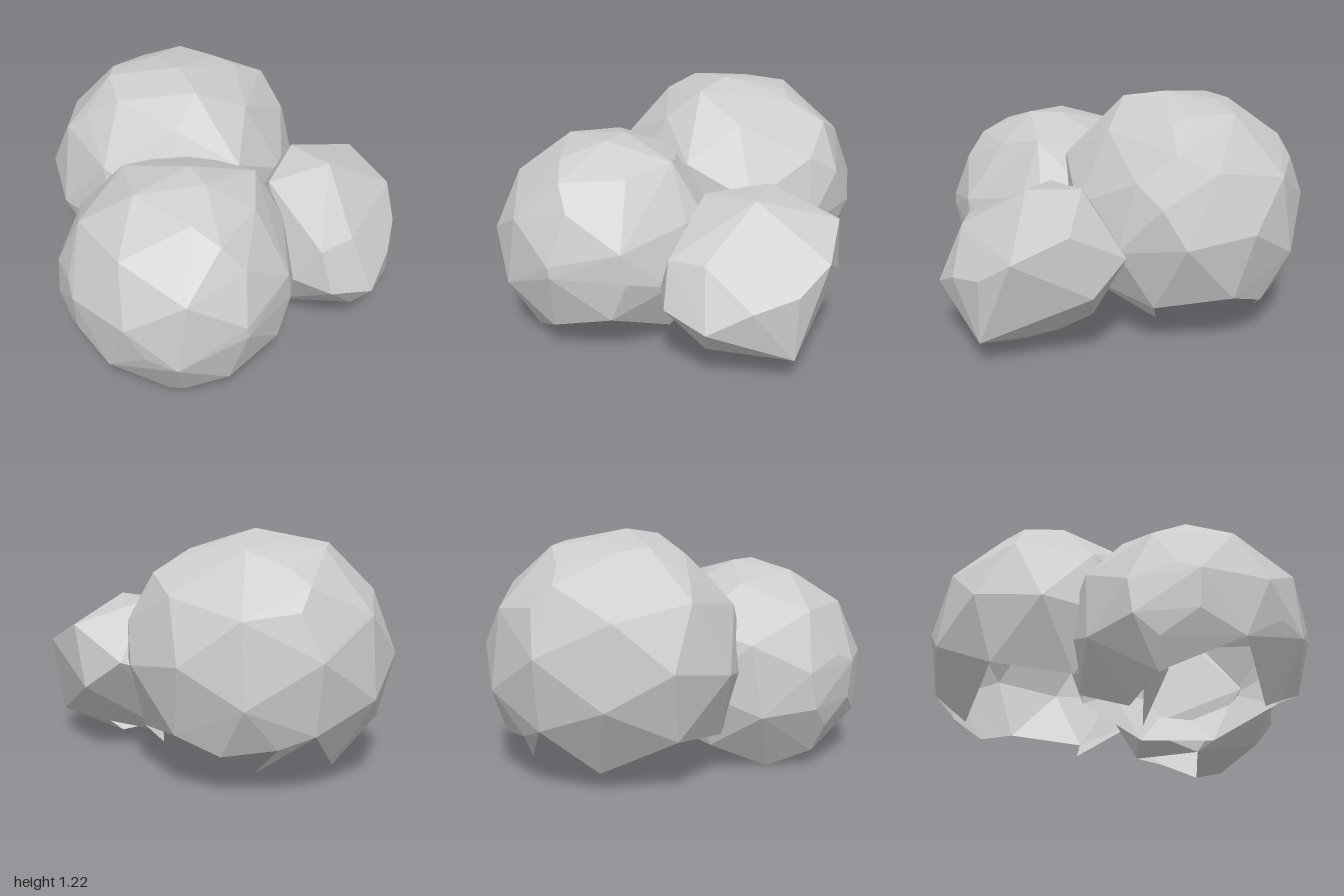
import * as THREE from 'three';
import { ConvexGeometry } from 'three/addons/geometries/ConvexGeometry.js';

const material = new THREE.MeshStandardMaterial({
  color: 0xcccccc, flatShading: true, side: THREE.DoubleSide,
});

// Faceted hull around the corners; faces centred below `cut` are left out,
// which gives the open underside its jagged rim.
function puff(name, corners, cut) {
  const pos = new ConvexGeometry(corners).attributes.position;
  const kept = [];
  for (let f = 0; f < pos.count; f += 3) {
    const centre = (pos.getY(f) + pos.getY(f + 1) + pos.getY(f + 2)) / 3;
    if (centre < cut) continue;
    for (let v = f; v < f + 3; v++) kept.push(pos.getX(v), Math.max(0, pos.getY(v)), pos.getZ(v));
  }
  const geometry = new THREE.BufferGeometry();
  geometry.setAttribute('position', new THREE.Float32BufferAttribute(kept, 3));
  geometry.computeVertexNormals();
  const mesh = new THREE.Mesh(geometry, material);
  mesh.name = name;
  return mesh;
}

const toPoints = (list) => list.map((p) => new THREE.Vector3(...p));

// Corners of a faceted ball, tilted, then fitted to the box min..max
function ball(min, max, [tiltX, tiltY, tiltZ]) {
  const g = new THREE.IcosahedronGeometry(1, 1);
  g.rotateY(tiltY).rotateX(tiltX).rotateZ(tiltZ);
  g.center();
  const size = g.boundingBox.getSize(new THREE.Vector3());
  g.scale(...size.toArray().map((s, i) => (max[i] - min[i]) / s));
  g.translate(...min.map((m, i) => (m + max[i]) / 2));
  const pos = g.attributes.position;
  return Array.from({ length: pos.count }, (_, i) => new THREE.Vector3().fromBufferAttribute(pos, i));
}

// Bulges that fill out the shoulders and rim of the back puff
const backBulges = toPoints([
  [-0.4, 1.17, -0.45], [0.2, 1.17, -0.45], [0.48, 1.04, -0.4], [0.6, 0.8, -0.35],
  [-0.07, 1.2, -0.04], [-0.1, 1.19, -0.53], [-0.1, 1.08, -0.77], [-0.1, 0.9, -0.93],
  [-0.57, 1.02, -0.35], [0.05, 0.9, 0.25], [0.42, 0.15, -0.3], [0, 0.26, -0.91], [0.25, 0.22, -0.82],
]);

// The same for the front puff
const frontBulges = toPoints([
  [-0.25, 1.045, 0.53], [0.07, 0.96, 0.4], [0.22, 0.7, 0.35], [-0.92, 0.6, 0.4],
  [-0.93, 0.35, 0.2], [-0.3, 0.9, 0.83], [-0.24, 0.53, 1], [-0.7, 0.38, 0.86],
  [-0.92, 0.36, 0.5], [0.09, 0.45, 0.8], [-0.49, 0.07, 0.83], [-0.84, 0.1, 0.3],
]);

// All corners of the small, coarser puff, from its crown down to its rim
const sideCorners = toPoints([
  [0.53, 0.84, 0.34], [0.44, 0.83, 0.08], [0.2, 0.79, 0.3], [0.83, 0.72, 0.05],
  [0.93, 0.6, 0.31], [0.48, 0.62, 0.7], [0.29, 0.61, 0.73], [0.62, 0.55, -0.18],
  [0.87, 0.48, 0.49], [0.73, 0.43, 0.67], [0.56, 0.33, 0.81], [0.32, 0.39, 0.81],
  [0.3, 0.45, -0.15], [0.79, 0.4, -0.05], [0.18, 0.41, 0.65], [0.5, 0.2, 0.72],
  [0.86, 0.15, 0.5], [0.64, 0.15, 0.16], [0.15, 0.2, 0.1], [0.3, 0.08, 0.06],
  [0.2, 0.07, 0.4], [0.54, 0.03, 0.37],
]);

export function createModel() {
  const group = new THREE.Group();
  group.name = 'puffCluster';
  const back = ball([-0.75, -0.06, -1.0], [0.61, 1.235, 0.27], [0.14, 0.17, 0]);
  const front = ball([-0.935, -0.12, -0.22], [0.23, 1.045, 1.0], [-0.05, 0.2, -0.15]);
  group.add(
    puff('backPuff', [...back, ...backBulges], 0.21),
    puff('frontPuff', [...front, ...frontBulges], 0.13),
    puff('sidePuff', sideCorners, 0.09),
  );
  return group;
}
